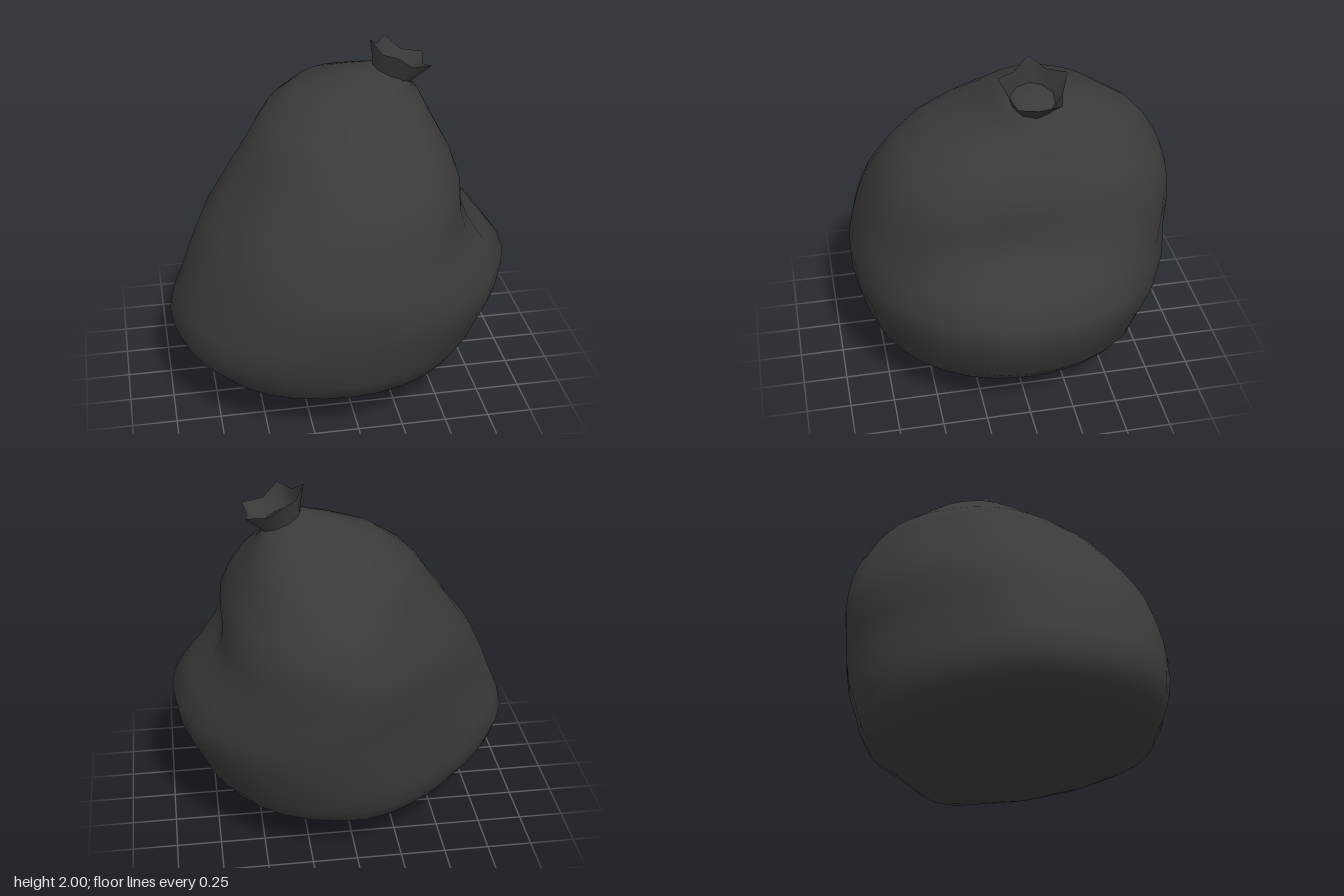
import * as THREE from 'three';

const material = new THREE.MeshStandardMaterial({ color: 0x3a3a3a, side: THREE.DoubleSide });

// Skin a stack of closed rings (bottom to top), optionally closing both ends
function loft(rings, capped) {
  const n = rings[0].length, pos = rings.flat(2), idx = [];
  for (let r = 0; r < rings.length - 1; r++) {
    for (let i = 0; i < n; i++) {
      const a = r * n + i, b = r * n + (i + 1) % n;
      idx.push(a, a + n, b, b, a + n, b + n);
    }
  }
  if (capped) {
    for (const r of [0, rings.length - 1]) {
      const c = pos.length / 3;
      for (let k = 0; k < 3; k++) pos.push(rings[r].reduce((s, p) => s + p[k], 0) / n);
      for (let i = 0; i < n; i++) {
        const a = r * n + i, b = r * n + (i + 1) % n;
        if (r > 0) idx.push(a, c, b); else idx.push(a, b, c);
      }
    }
  }
  const g = new THREE.BufferGeometry();
  g.setAttribute('position', new THREE.Float32BufferAttribute(pos, 3));
  g.setIndex(idx);
  g.computeVertexNormals();
  return g;
}

// Sack cross-sections: height, x min, x max, z min, z max
const SECTIONS = [
  [0.00, -0.10, -0.04, -0.28, -0.22],
  [0.03, -0.20, 0.27, -0.36, -0.10],
  [0.07, -0.32, 0.43, -0.45, 0.02],
  [0.12, -0.50, 0.52, -0.54, 0.40],
  [0.18, -0.66, 0.61, -0.63, 0.62],
  [0.26, -0.83, 0.74, -0.75, 0.80],
  [0.35, -0.93, 0.82, -0.80, 0.84],
  [0.46, -0.98, 0.87, -0.83, 0.87],
  [0.60, -0.95, 0.94, -0.87, 0.90],
  [0.77, -0.88, 0.97, -0.89, 0.91],
  [0.90, -0.83, 0.87, -0.90, 0.88],
  [1.05, -0.76, 0.75, -0.91, 0.84],
  [1.17, -0.67, 0.69, -0.90, 0.80],
  [1.28, -0.60, 0.68, -0.88, 0.75],
  [1.39, -0.52, 0.64, -0.84, 0.69],
  [1.50, -0.45, 0.58, -0.77, 0.59],
  [1.58, -0.38, 0.54, -0.70, 0.45],
  [1.69, -0.21, 0.50, -0.53, 0.23],
  [1.76, 0.04, 0.45, -0.34, 0.12],
  [1.81, 0.21, 0.43, -0.20, 0.04],
];

// Fullness of each corner against height: 2 is round, less is pressed flat, more is boxy
const HEIGHTS = [0, 0.45, 0.9, 1.2, 1.45, 1.81];
const FULLNESS = {
  frontLeft: [2, 2, 1.95, 2.7, 2.5, 2],
  backLeft: [2.3, 2.2, 2.1, 2.7, 2.2, 2],
  frontRight: [2.2, 2.45, 2.35, 2.15, 1.85, 2],
  backRight: [1.6, 1.4, 1.4, 1.5, 1.55, 2],
};

function fullness(corner, y) {
  const i = Math.max(1, HEIGHTS.findIndex(h => h >= y));
  return THREE.MathUtils.mapLinear(y, HEIGHTS[i - 1], HEIGHTS[i], FULLNESS[corner][i - 1], FULLNESS[corner][i]);
}

function sackRing([y, x0, x1, z0, z1]) {
  const n = 32, ring = [];
  const tilt = 0.37 * Math.max(0, (y - 1.5) / 0.31) ** 3; // the neck leans over
  for (let i = 0; i < n; i++) {
    const a = i / n * Math.PI * 2, c = Math.cos(a), s = Math.sin(a);
    const p = fullness((s > 0 ? 'front' : 'back') + (c > 0 ? 'Left' : 'Right'), y);
    const k = Math.pow(Math.abs(c) ** p + Math.abs(s) ** p, -1 / p);
    const dx = c * k * (x1 - x0) / 2;
    const z = (z0 + z1) / 2 + s * k * (z1 - z0) / 2;
    // Sunken fold on the model's left flank
    const fold = c > 0 ? 0.05 * Math.exp(-(((y - 1.1) / 0.12) ** 2) - ((z - 0.08) / 0.2) ** 2) : 0;
    ring.push([(x0 + x1) / 2 + dx - fold, y - tilt * dx, z]);
  }
  return ring;
}

// Flared, pointed rim above the knot: five tips alternating with five dips
function crownRing(radius, height, tipRadius, tipHeight) {
  return Array.from({ length: 10 }, (_, i) => {
    const a = i / 10 * Math.PI * 2, tip = i % 2 === 1;
    const r = tip ? tipRadius : radius;
    return [r * Math.cos(a), tip ? tipHeight : height, r * Math.sin(a)];
  });
}

export function createModel() {
  const model = new THREE.Group();
  model.name = 'tiedSack';

  const sack = new THREE.Mesh(loft(SECTIONS.map(sackRing), true), material);
  sack.name = 'sackBody';

  const crown = new THREE.Mesh(loft([
    crownRing(0.11, -0.025, 0.11, -0.025),
    crownRing(0.13, 0.03, 0.135, 0.03),
    crownRing(0.15, 0.095, 0.195, 0.13),
  ], false), material);
  crown.name = 'gatheredTop';
  crown.position.set(0.335, 1.803, -0.08);
  crown.rotation.z = -0.39;

  model.add(sack, crown);
  return model;
}
